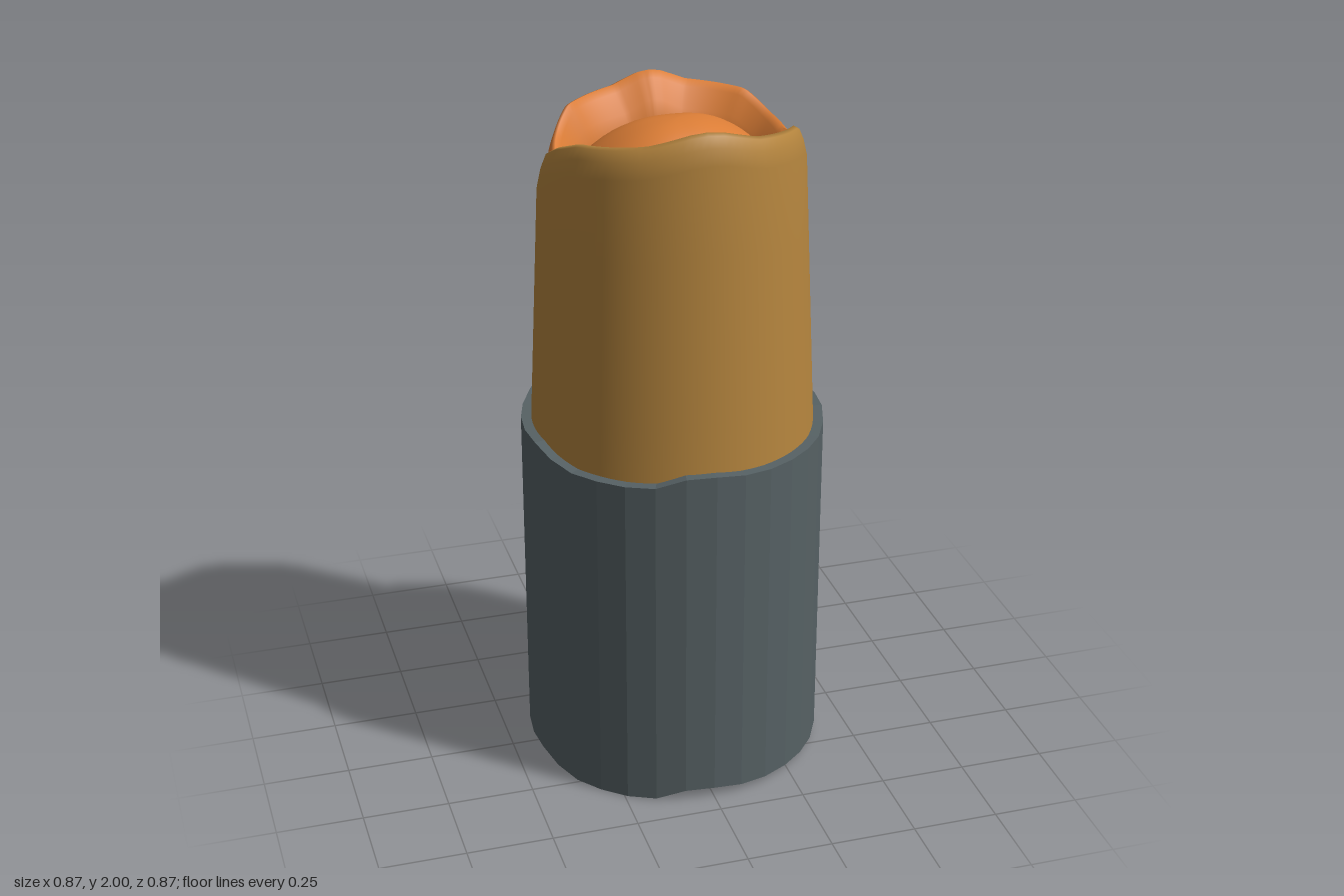
import * as THREE from 'three';
import { mergeGeometries } from 'three/addons/utils/BufferGeometryUtils.js';

const RAD = Math.PI / 180;
const BASE = 0.95;
const mix = THREE.MathUtils.lerp;
const paint = (color, extra = {}) => new THREE.MeshStandardMaterial({ color, ...extra });

// Linear lookup in a list of [position, value] pairs
function lookup(table, t) {
  for (let i = 1; i < table.length; i++) {
    const [t0, v0] = table[i - 1], [t1, v1] = table[i];
    if (t <= t1) return mix(v0, v1, (t - t0) / (t1 - t0));
  }
  return table[table.length - 1][1];
}

// Surface through the points at(i, j); front side is (i direction) x (j direction)
function grid(ni, nj, at, wrap = false) {
  const pos = [], index = [], cols = wrap ? ni : ni + 1;
  for (let j = 0; j <= nj; j++) for (let i = 0; i < cols; i++) pos.push(...at(i, j));
  for (let j = 0; j < nj; j++) {
    for (let i = 0; i < ni; i++) {
      const a = j * cols + i, b = j * cols + (i + 1) % cols;
      index.push(a, b, b + cols, a, b + cols, a + cols);
    }
  }
  const g = new THREE.BufferGeometry();
  g.setAttribute('position', new THREE.Float32BufferAttribute(pos, 3));
  g.setIndex(index);
  g.computeVertexNormals();
  return g;
}

// Point at an angle in degrees measured from the front towards +x
const polar = (deg, r, y) => [r * Math.sin(deg * RAD), y, r * Math.cos(deg * RAD)];

// Boxy oval outline of the core
function coreRadius(deg) {
  const s = Math.abs(Math.sin(deg * RAD)), c = Math.cos(deg * RAD), n = 2.6;
  const depth = c > 0 ? 0.23 : 0.14;
  return ((s / 0.25) ** n + (Math.abs(c) / depth) ** n) ** (-1 / n);
}

// Thick curved wrap from one angle to another with a rounded rim
function wrapGeometry({ from, to, height, outer, inner }) {
  const steps = 72, last = 13;
  const at = (i, j) => {
    const deg = mix(from, to, i / steps), h = height(deg);
    const top = outer(deg, h), rIn = inner(deg, top), w = top - rIn;
    if (j <= 4) {
      const y = mix(BASE, h - 0.08, j / 4);
      return polar(deg, outer(deg, y), y);
    }
    const rim = [[0.06, 0.035], [0.17, 0.006], [0.28, 0], [0.42, 0.018], [0.72, 0.07], [1, 0.14]];
    if (j <= 10) return polar(deg, top - w * rim[j - 5][0], h - rim[j - 5][1]);
    return polar(deg, rIn, mix(h - 0.14, BASE, (j - 10) / 3));
  };
  const half = (last - 1) / 2;
  const cap = (col, flip) => grid(1, Math.floor(half), (i, j) => at(col, (i === 1) === flip ? last - j : j));
  return mergeGeometries([grid(steps, last, at), cap(0, false), cap(steps, true)]);
}

export function createModel() {
  const model = new THREE.Group();
  const add = (name, geometry, material) => {
    const mesh = new THREE.Mesh(geometry, material);
    mesh.name = name;
    model.add(mesh);
  };
  const orange = paint(0xdb7d36, { side: THREE.DoubleSide });
  const brown = paint(0xb5853e, { side: THREE.DoubleSide });

  // Sleeve: solid cylinder whose top and bottom edges share one gentle wave
  const wave = [[-180, 0.063], [-135, 0.063], [-118, 0.035], [-75, 0.033], [-62, 0.004], [-24, 0.002],
    [-12, 0.033], [4, 0.033], [14, 0.02], [60, 0.015], [78, 0.033], [118, 0.035], [135, 0.063], [180, 0.063]];
  const sleeve = new THREE.CylinderGeometry(0.435, 0.435, 1.016, 32, 1);
  const p = sleeve.attributes.position;
  for (let i = 0; i < p.count; i++) {
    const x = p.getX(i), z = p.getZ(i);
    const lift = Math.hypot(x, z) < 0.01 ? 0.033 : lookup(wave, Math.atan2(x, z) / RAD);
    p.setY(i, p.getY(i) + 0.508 + lift);
  }
  sleeve.computeVertexNormals();
  add('sleeve', sleeve, paint(0x566164, { flatShading: true }));

  // Outer wrap: round the front, cut down in a curve towards the open back
  const outerRim = [[0, 2], [0.06, 1.995], [0.2, 1.965], [0.45, 1.94], [0.58, 1.9], [0.68, 1.86], [0.74, 1.81],
    [0.79, 1.74], [0.85, 1.64], [0.92, 1.52], [0.97, 1.38], [1, 1.2]];
  add('outerWrap', wrapGeometry({
    from: -140,
    to: 132,
    height: (deg) => lookup(outerRim, deg < 0 ? deg / -140 : deg / 132),
    outer: (deg, y) => 0.405 - 0.042 * (y - 1.05) / 0.9,
    inner: (deg, r) => {
      const a = Math.abs(deg);
      return a < 90 ? coreRadius(a) : mix(0.25, r - 0.06, Math.min(1, (a - 90) / 30));
    },
  }), brown);

  // Inner wrap: half ring across the back, flatter in the middle
  const innerRim = [[0, 2], [8, 1.995], [25, 1.967], [60, 1.95], [75, 1.9], [90, 1.865]];
  add('innerWrap', wrapGeometry({
    from: 92,
    to: 268,
    height: (deg) => lookup(innerRim, Math.abs(deg - 180)),
    outer: (deg, y) => {
      const t = Math.abs(deg - 180) / 88;
      return 0.308 + 0.052 * t - 0.045 * (1 - 0.85 * t * t) * ((y - 1.05) / 0.95);
    },
    inner: (deg) => coreRadius(deg),
  }), orange);

  // Core: oval column with a domed top between the wraps
  const rings = 10;
  add('core', grid(48, rings + 1, (i, j) => {
    const deg = i * 7.5, s = j === 0 ? 1 : 1 - (j - 1) / rings;
    const y = j === 0 ? BASE : 1.95 - 0.12 * s ** 2.2;
    const [x, , z] = polar(deg, coreRadius(deg) * 1.03 * s, y);
    return [x, y, z + 0.045 * (1 - s)];
  }, true), orange);

  return model;
}
